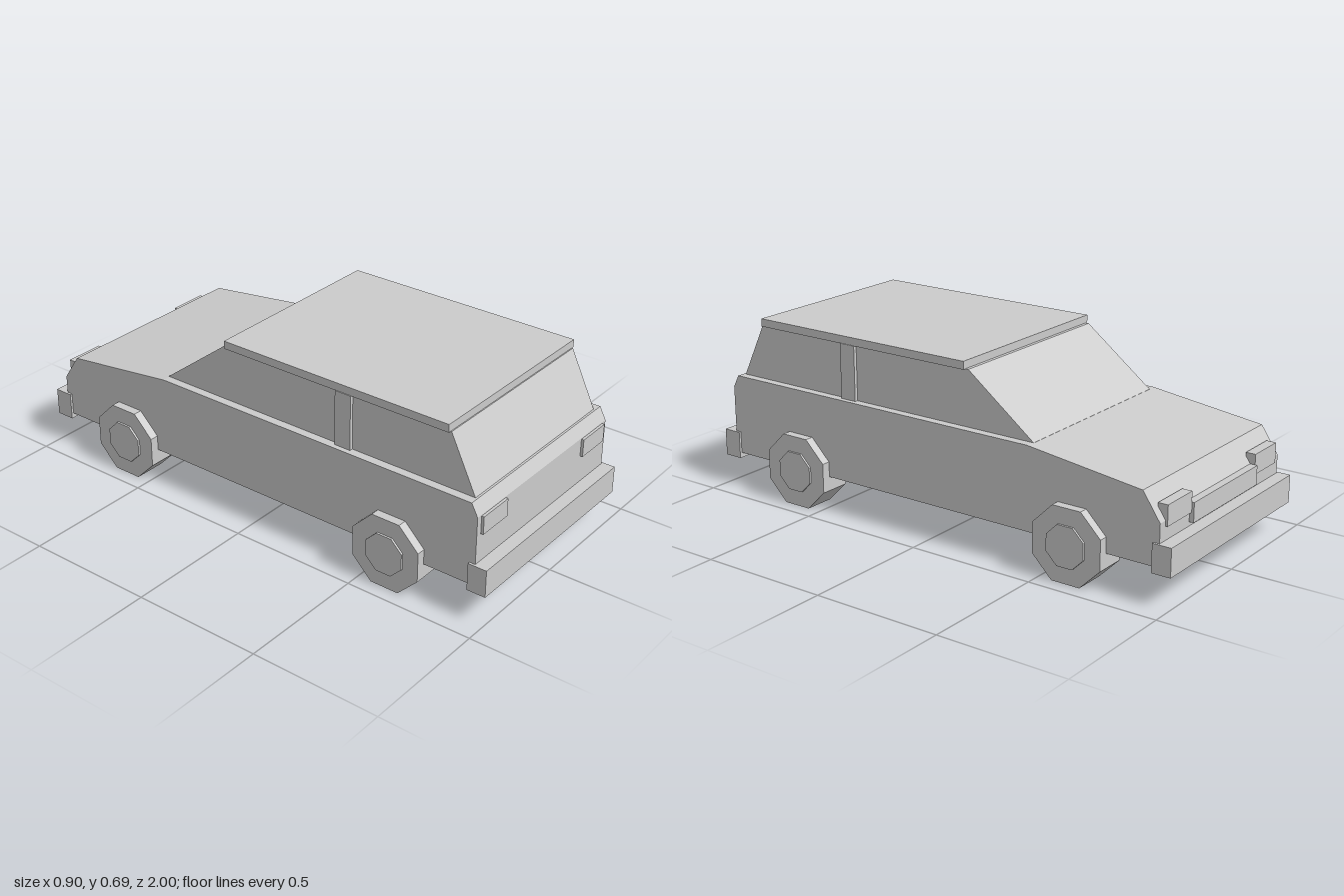
import * as THREE from 'three';

const grey = new THREE.MeshStandardMaterial({ name: 'plainGrey', color: 0xcccccc });

function add(parent, name, geometry) {
  const mesh = new THREE.Mesh(geometry, grey);
  mesh.name = name;
  parent.add(mesh);
  return mesh;
}

// Box given by its [min, max] range on each axis
function box([x0, x1], [y0, y1], [z0, z1]) {
  return new THREE.BoxGeometry(x1 - x0, y1 - y0, z1 - z0)
    .translate((x0 + x1) / 2, (y0 + y1) / 2, (z0 + z1) / 2);
}

// Side profile of [z, y] points, extruded across the width
function sideProfile(points, halfWidth) {
  const shape = new THREE.Shape(points.map(([z, y]) => new THREE.Vector2(z, y)));
  return new THREE.ExtrudeGeometry(shape, { depth: halfWidth * 2, bevelEnabled: false })
    .translate(0, 0, -halfWidth)
    .rotateY(-Math.PI / 2);
}

// Octagonal disc along x, standing on a flat side
function octagon(apothem, x0, x1) {
  const radius = apothem / Math.cos(Math.PI / 8);
  const geometry = new THREE.CylinderGeometry(radius, radius, x1 - x0, 8)
    .rotateY(Math.PI / 8)
    .rotateZ(Math.PI / 2)
    .translate((x0 + x1) / 2, 0, 0)
    .toNonIndexed();
  geometry.computeVertexNormals();
  return geometry;
}

export function createModel() {
  const car = new THREE.Group();
  car.name = 'car';

  // Lower body with sloping hood (towards -z) and chamfered tail
  add(car, 'body', sideProfile([
    [-0.95, 0.135], [0.95, 0.135], [0.95, 0.4], [0.925, 0.447],
    [-0.425, 0.447], [-0.882, 0.39], [-0.95, 0.29],
  ], 0.408));

  // Cabin glass and roof
  add(car, 'cabin', sideProfile([
    [0.917, 0.44], [0.917, 0.447], [0.815, 0.656], [-0.155, 0.656], [-0.43, 0.447], [-0.43, 0.44],
  ].reverse(), 0.375));
  add(car, 'roof', box([-0.385, 0.385], [0.655, 0.685], [-0.142, 0.811]));

  // Bumpers at both ends
  add(car, 'tailBumper', box([-0.417, 0.417], [0.115, 0.22], [0.927, 1]));
  add(car, 'noseBumper', box([-0.417, 0.417], [0.115, 0.22], [-1, -0.927]));

  // Grille between the headlights
  add(car, 'grille', box([-0.22, 0.22], [0.235, 0.307], [-0.967, -0.93]));

  // Paired parts
  for (const side of [-1, 1]) {
    const range = (a, b) => (side > 0 ? [a, b] : [-b, -a]);
    add(car, 'doorPillar', box(range(0.365, 0.388), [0.44, 0.656], [0.352, 0.418]));
    add(car, 'tailLight', box(range(0.242, 0.385), [0.328, 0.396], [0.94, 0.96]));
    add(car, 'headlight', box(range(0.22, 0.375), [0.27, 0.346], [-0.958, -0.92]));

    for (const z of [-0.61, 0.61]) {
      const wheel = new THREE.Group();
      wheel.name = 'wheel';
      wheel.position.set(0, 0.137, z);
      add(wheel, 'tyre', octagon(0.137, ...range(0.32, 0.442)));
      add(wheel, 'hub', octagon(0.075, ...range(0.43, 0.45)));
      car.add(wheel);
    }
  }
  return car;
}
